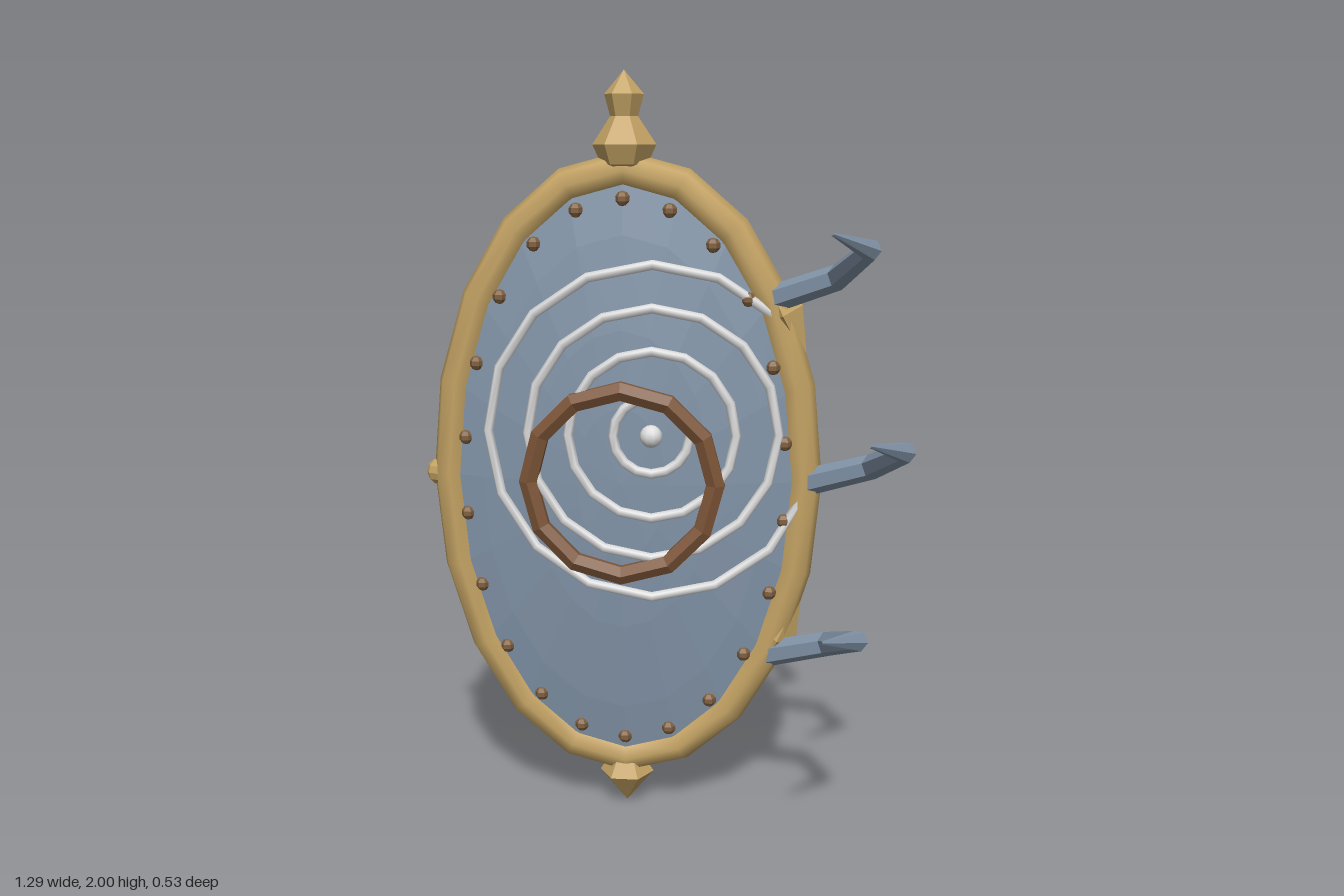
import * as THREE from 'three';

const CX = -0.1, CY = 0.945, RX = 0.475, RY = 0.805, RIM_Z = -0.195;
const TAU = Math.PI * 2;
const V = (x, y, z) => new THREE.Vector3(x, y, z);

// Height of the domed plate at a point
const domeZ = (x, y) => -0.09 - 0.075 * (((x - CX) / RX) ** 2 + ((y - CY) / RY) ** 2);

// Curve sampled directly by its parameter
function curveOf(fn) {
  const c = new THREE.Curve();
  c.getPoint = fn;
  c.getPointAt = fn;
  c.getTangentAt = (t, target) => c.getTangent(t, target);
  return c;
}

// Straight-sided path through a few points
function polyline(pts) {
  const n = pts.length - 1;
  return curveOf((t) => {
    const i = Math.min(Math.floor(t * n + 1e-9), n - 1);
    return pts[i].clone().lerp(pts[i + 1], t * n - i);
  });
}

function flat(geometry) {
  const g = geometry.index ? geometry.toNonIndexed() : geometry;
  g.computeVertexNormals();
  return g;
}

// Tube whose radius changes from joint to joint
function taperedTube(pts, radii, sides) {
  const g = new THREE.TubeGeometry(polyline(pts), pts.length - 1, 1, sides, false);
  const p = g.attributes.position;
  for (let i = 0; i < p.count; i++) {
    const ring = Math.floor(i / (sides + 1));
    const v = V().fromBufferAttribute(p, i).sub(pts[ring]).multiplyScalar(radii[ring]).add(pts[ring]);
    p.setXYZ(i, v.x, v.y, v.z);
  }
  return flat(g);
}

export function createModel() {
  const model = new THREE.Group();
  model.name = 'ovalShield';
  const material = (name, color) => {
    const m = new THREE.MeshStandardMaterial({ color });
    m.name = name;
    return m;
  };
  const gold = material('gold', 0xc4a364);
  const steel = material('steel', 0x8294a8);
  const backing = material('backingBrown', 0x7c6148);
  const wood = material('wood', 0x7d5537);
  const bronze = material('bronze', 0x80603f);
  const pale = material('paleThread', 0xdedede);

  const add = (name, geometry, mat, x = 0, y = 0, z = 0) => {
    const mesh = new THREE.Mesh(geometry, mat);
    mesh.name = name;
    mesh.position.set(x, y, z);
    model.add(mesh);
    return mesh;
  };

  // Domed plate: steel face and brown hollow back
  const levels = [1, 0.8, 0.5, 0.25, 0];
  const shell = (points) => flat(new THREE.LatheGeometry(points, 20).rotateX(Math.PI / 2).rotateZ(Math.PI / 2).scale(RX, RY, 1));
  add('plateFront', shell(levels.map((r) => new THREE.Vector2(r, -0.09 - 0.075 * r * r))), steel, CX, CY);
  add('plateBack', shell([...levels].reverse().map((r) => new THREE.Vector2(r, -0.115 - 0.075 * r * r))), backing, CX, CY);

  // Oval rim
  const rimPath = curveOf((t) => V(CX + RX * Math.cos(t * TAU), CY + RY * Math.sin(t * TAU), RIM_Z));
  add('rim', new THREE.TubeGeometry(rimPath, 20, 0.05, 8, true), gold);

  // Rivets around the plate
  for (let i = 0; i < 22; i++) {
    const a = (i / 22) * TAU;
    const x = CX + 0.43 * Math.sin(a), y = CY + 0.735 * Math.cos(a);
    add('rivet', flat(new THREE.SphereGeometry(0.02, 6, 5)), bronze, x, y, domeZ(x, y) - 0.003);
  }

  // Thread rings lying on the dome around an offset centre
  const wx = -0.02, wy = 1.075;
  for (const r of [0.1, 0.22, 0.33, 0.44]) {
    const path = curveOf((t) => {
      let dx = wx + r * Math.sin(t * TAU) - CX, dy = wy + r * Math.cos(t * TAU) - CY;
      const k = Math.max(1, Math.hypot(dx / RX, dy / RY));
      dx /= k;
      dy /= k;
      return V(CX + dx, CY + dy, domeZ(CX + dx, CY + dy) + 0.003);
    });
    add('threadRing', new THREE.TubeGeometry(path, 16, 0.013, 6, true), pale);
  }
  add('threadCentre', new THREE.SphereGeometry(0.03, 10, 8), pale, wx, wy, domeZ(wx, wy) + 0.005);

  // Wooden hoop bent over the dome
  const hoop = curveOf((t) => {
    const x = CX + 0.248 * Math.sin(t * TAU), y = CY + 0.248 * Math.cos(t * TAU);
    return V(x, y, domeZ(x, y) + 0.004);
  });
  add('woodenHoop', flat(new THREE.TubeGeometry(hoop, 12, 0.028, 6, true)), wood);

  // Six-sided finials at top and bottom
  const finial = (name, profile) => add(name, flat(new THREE.LatheGeometry(
    profile.map(([r, y]) => new THREE.Vector2(r, y)), 6, Math.PI / 2)), gold, CX, 0, RIM_Z);
  finial('topFinial', [[0, 1.74], [0.06, 1.765], [0.083, 1.815], [0.036, 1.885], [0.051, 1.94], [0, 2]]);
  finial('bottomFinial', [[0, 0], [0.075, 0.09], [0.05, 0.13], [0, 0.16]]);

  // Side studs, and spindle mounts under the outer claws
  for (const s of [-1, 1]) {
    add('sideStud', flat(new THREE.SphereGeometry(0.037, 8, 6)), gold, CX + s * 0.51, CY, RIM_Z);
    const mount = add('clawMount', flat(new THREE.OctahedronGeometry(1).scale(0.055, 0.15, 0.055)),
      gold, 0.315, CY + s * 0.44, RIM_Z);
    mount.rotation.z = s * 0.45;
  }

  // Three jointed claws sweeping forward
  for (const [dx, dy] of [[-0.1, 0.485], [0, 0], [-0.1, -0.485]]) {
    const pts = [V(0.36, 0.93, -0.2), V(0.55, 1.005, -0.1), V(0.62, 1.09, 0.11), V(0.528, 1.135, 0.262)];
    pts.forEach((p) => p.add(V(dx, dy, 0)));
    add('claw', taperedTube(pts, [0.037, 0.033, 0.027, 0.004], 6), steel);
  }

  // Grip on the back
  const grip = [V(0, 0.13, -0.11), V(0, 0.085, -0.2), V(0, -0.085, -0.2), V(0, -0.13, -0.11)];
  add('backGrip', taperedTube(grip, [0.022, 0.022, 0.022, 0.022], 6), wood, CX, CY);

  return model;
}
